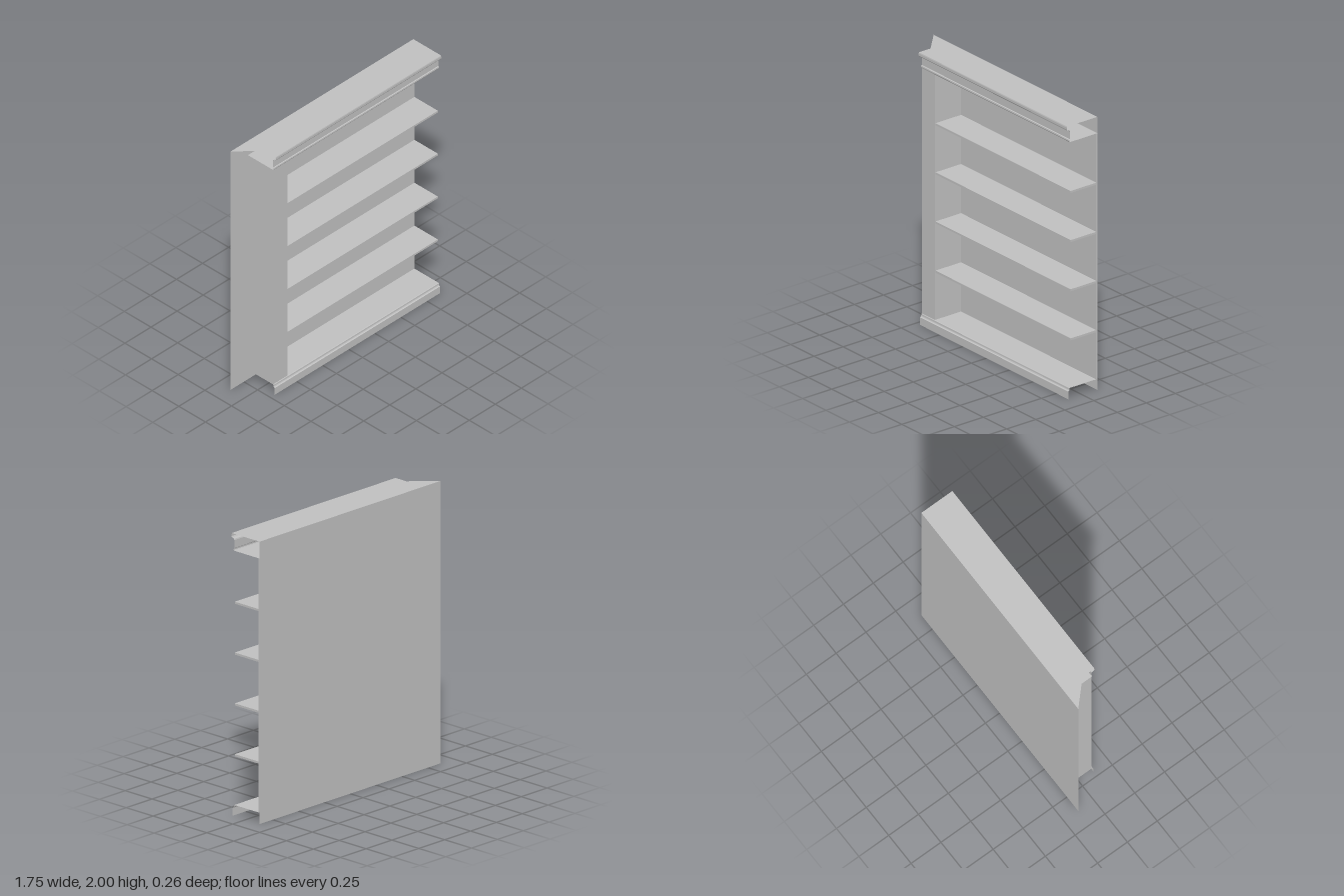
import * as THREE from 'three';

const LEFT = 0.875, RIGHT = -0.875;   // back panel ends
const PIER_OUT = -0.71, PIER_IN = -0.57;
const BACK = -0.13, LINER = -0.12, FACE = 0.105;
const FLOOR = 0.08, CEILING = 1.88;

export function createModel() {
  const model = new THREE.Group();
  const paint = new THREE.MeshStandardMaterial({ color: 0xc0c0c0, side: THREE.DoubleSide });
  paint.name = 'grey paint';

  const add = (name, geometry) => {
    const mesh = new THREE.Mesh(geometry, paint);
    mesh.name = name;
    model.add(mesh);
    return mesh;
  };

  // Flat sheets: facing front, facing sideways, facing up
  const frontSheet = (name, x0, x1, y0, y1, z) =>
    add(name, new THREE.PlaneGeometry(x1 - x0, y1 - y0)
      .translate((x0 + x1) / 2, (y0 + y1) / 2, z));
  const sideSheet = (name, x, y0, y1, z0, z1, facing) =>
    add(name, new THREE.PlaneGeometry(z1 - z0, y1 - y0)
      .rotateY(facing * Math.PI / 2).translate(x, (y0 + y1) / 2, (z0 + z1) / 2));
  const levelSheet = (name, x0, x1, y, z0, z1, facing) =>
    add(name, new THREE.PlaneGeometry(x1 - x0, z1 - z0)
      .rotateX(-facing * Math.PI / 2).translate((x0 + x1) / 2, y, (z0 + z1) / 2));

  // Open moulding: a [z, y] profile, listed top to bottom, swept along x
  const moulding = (name, profile) => {
    const pos = [];
    for (let i = 0; i < profile.length - 1; i++) {
      const [za, ya] = profile[i], [zb, yb] = profile[i + 1];
      const a = [PIER_OUT, ya, za], b = [PIER_OUT, yb, zb];
      const c = [LEFT, yb, zb], d = [LEFT, ya, za];
      pos.push(...a, ...b, ...c, ...a, ...c, ...d);
    }
    const geometry = new THREE.BufferGeometry();
    geometry.setAttribute('position', new THREE.Float32BufferAttribute(pos, 3));
    geometry.computeVertexNormals();
    return add(name, geometry);
  };

  // Back: outer sheet and inner liner
  add('backPanel', new THREE.PlaneGeometry(LEFT - RIGHT, 2).rotateY(Math.PI).translate(0, 1, BACK));
  frontSheet('backLiner', PIER_IN, LEFT, FLOOR, CEILING, LINER);
  sideSheet('backLinerEdge', LEFT, FLOOR, CEILING, BACK, LINER, 1);

  // Top board with a mitred right back corner
  const top = new THREE.Shape([
    [RIGHT, -BACK], [PIER_OUT, -0.03], [PIER_OUT, -0.13], [LEFT, -0.13], [LEFT, -BACK],
  ].map(([x, y]) => new THREE.Vector2(x, y)));
  add('topBoard', new THREE.ShapeGeometry(top).rotateX(-Math.PI / 2).translate(0, 2, 0));

  // Hollow pier at the right end
  frontSheet('pierFront', PIER_OUT, PIER_IN, FLOOR, CEILING, FACE);
  sideSheet('pierInnerSide', PIER_IN, FLOOR, CEILING, BACK, FACE, 1);
  sideSheet('pierOuterSide', PIER_OUT, FLOOR, CEILING, BACK, FACE, -1);

  // Floor and ceiling of the shelf opening
  levelSheet('bottomBoard', PIER_IN, LEFT, FLOOR, BACK, FACE, 1);
  levelSheet('ceilingBoard', PIER_OUT, LEFT, CEILING, BACK, FACE, -1);

  // Four evenly spaced shelves
  const depth = 0.1 - LINER;
  for (let i = 0; i < 4; i++) {
    add('shelf' + (i + 1), new THREE.BoxGeometry(LEFT - PIER_IN, 0.015, depth)
      .translate((LEFT + PIER_IN) / 2, 0.433 + i * 0.36, LINER + depth / 2));
  }

  // Crown and base mouldings
  moulding('crownMoulding', [
    [0.13, 2], [0.132, 1.993], [0.132, 1.977], [0.128, 1.97], [0.115, 1.968], [0.108, 1.963],
    [FACE, 1.955], [FACE, 1.9], [0.11, 1.896], [0.111, 1.886], [0.108, CEILING], [FACE, CEILING],
  ]);
  moulding('baseMoulding', [
    [FACE, FLOOR], [0.109, 0.077], [0.11, 0.066], [0.113, 0.06], [0.12, 0.056], [0.12, 0],
  ]);

  return model;
}
